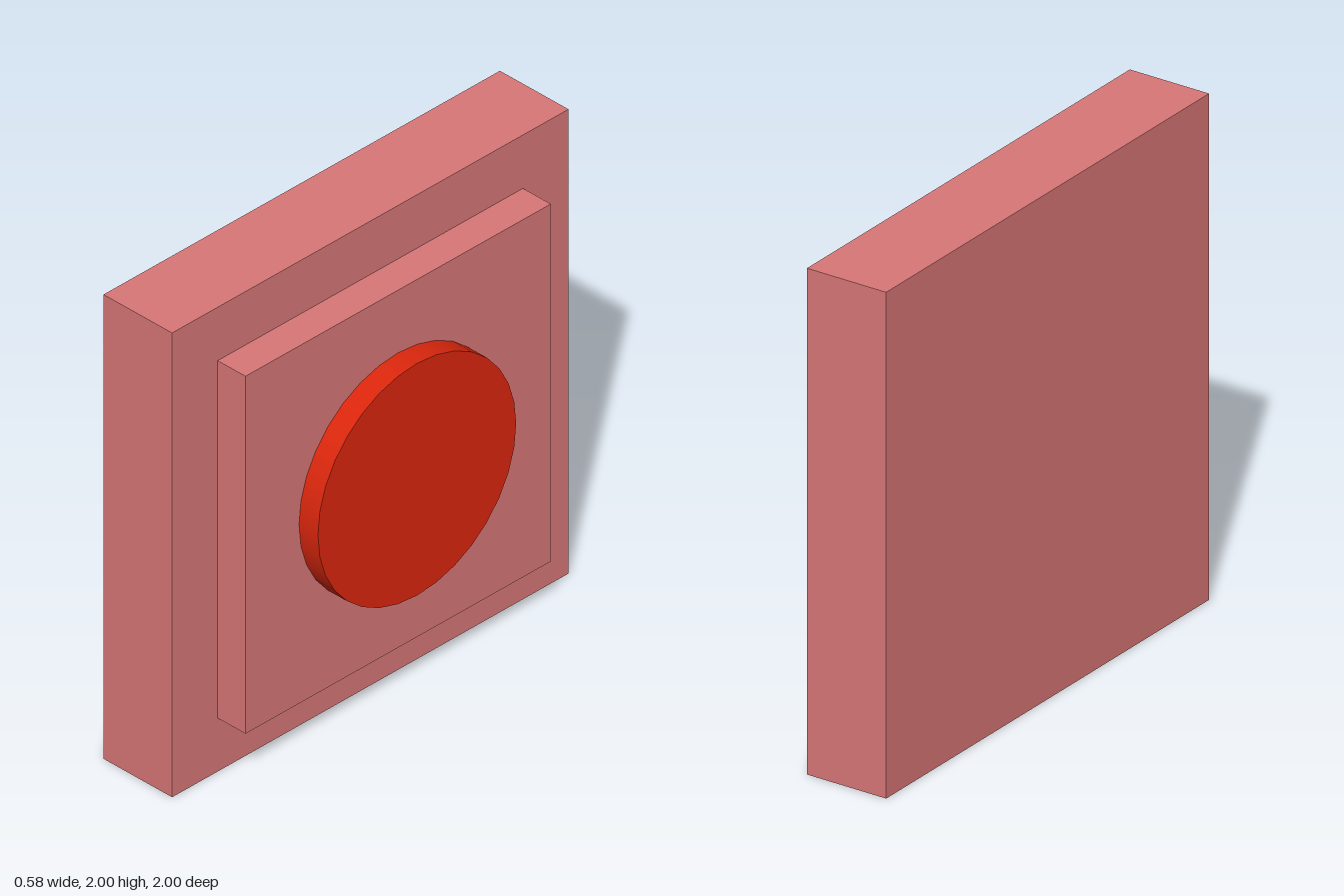
import * as THREE from 'three';

const pink = new THREE.MeshStandardMaterial({ color: 0xd97777 });
const red = new THREE.MeshStandardMaterial({ color: 0xdc270d });

export function createModel() {
  const group = new THREE.Group();

  // Adds a part spanning x0..x1, centred at mid height
  const add = (name, geometry, material, x0, x1) => {
    const mesh = new THREE.Mesh(geometry, material);
    mesh.name = name;
    mesh.position.set((x0 + x1) / 2, 1, 0);
    group.add(mesh);
  };

  // Square back plate and the smaller raised panel on it
  add('backPlate', new THREE.BoxGeometry(0.345, 2, 2), pink, -0.29, 0.055);
  add('raisedPanel', new THREE.BoxGeometry(0.14, 1.54, 1.54), pink, 0.055, 0.195);

  // Round button facing +x
  const disc = new THREE.CylinderGeometry(0.5, 0.5, 0.095, 32).rotateZ(-Math.PI / 2);
  add('button', disc, red, 0.195, 0.29);

  return group;
}
